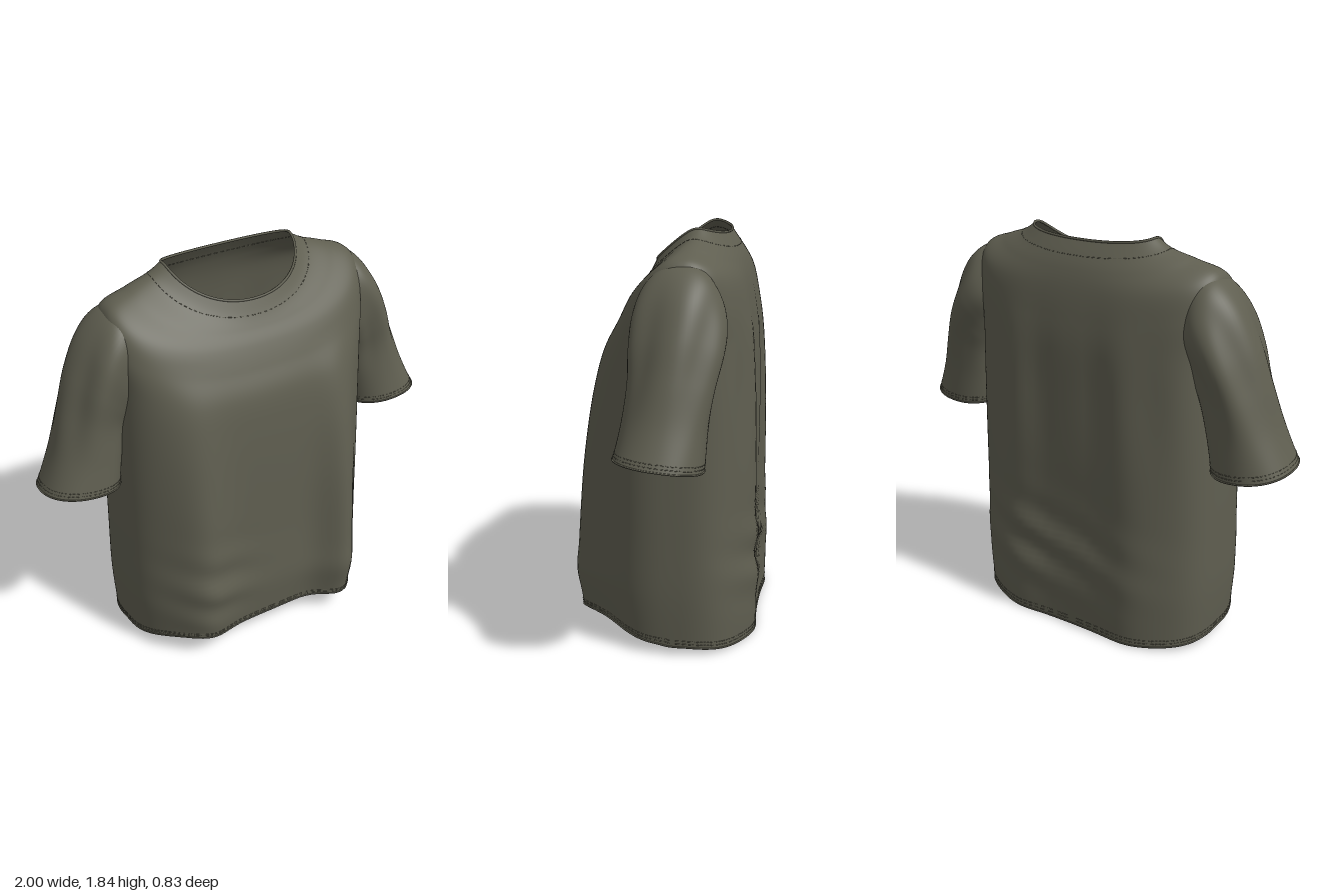
import * as THREE from 'three';
import { mergeGeometries } from 'three/addons/utils/BufferGeometryUtils.js';

const TAU = Math.PI * 2;
const cloth = new THREE.MeshStandardMaterial({ color: 0x5f5e50, side: THREE.DoubleSide });
cloth.name = 'olive cloth';

// Body rings from hem to neckline: halfWidth, zFront, zBack, ySide, yFront, yBack, front and back roundness
const BODY = [
  [0.62, 0.31, -0.39, 0.04, 0.1, 0.005, 2.6, 3.2],
  [0.635, 0.325, -0.395, 0.28, 0.3, 0.27, 2.6, 3.2],
  [0.635, 0.315, -0.385, 0.56, 0.57, 0.55, 2.6, 3.2],
  [0.63, 0.31, -0.385, 0.86, 0.86, 0.86, 2.6, 3.2],
  [0.625, 0.3, -0.38, 1.14, 1.12, 1.14, 2.6, 3.2],
  [0.625, 0.28, -0.375, 1.38, 1.3, 1.36, 2.6, 3.1],
  [0.64, 0.23, -0.36, 1.58, 1.42, 1.5, 2.6, 3],
  [0.62, 0.185, -0.34, 1.715, 1.51, 1.61, 2.5, 2.8],
  [0.5, 0.145, -0.315, 1.765, 1.57, 1.69, 2.3, 2.4],
  [0.39, 0.115, -0.285, 1.8, 1.62, 1.75, 2.1, 2.2],
  [0.325, 0.085, -0.245, 1.838, 1.68, 1.81, 2.1, 2.2],
];
const SEAM = 9 / 10; // where the collar band begins

// Sleeve rings from cuff to shoulder: outer x, outer y, inner x, inner y, zMid, zHalf
const SLEEVE = [
  [0.995, 0.94, 0.635, 0.905, -0.075, 0.185],
  [0.925, 1.1, 0.615, 1.06, -0.09, 0.175],
  [0.865, 1.28, 0.6, 1.18, -0.105, 0.175],
  [0.805, 1.45, 0.58, 1.25, -0.11, 0.188],
  [0.73, 1.6, 0.55, 1.3, -0.11, 0.192],
  [0.64, 1.695, 0.51, 1.36, -0.11, 0.175],
  [0.53, 1.735, 0.45, 1.42, -0.105, 0.115],
];

// Smooth interpolation through the ring tables
function sample(rows, t) {
  const f = THREE.MathUtils.clamp(t, 0, 1) * (rows.length - 1);
  const i = Math.min(Math.floor(f), rows.length - 2), u = f - i;
  const at = (k) => rows[THREE.MathUtils.clamp(k, 0, rows.length - 1)];
  return rows[i].map((b, k) => {
    const a = at(i - 1)[k], c = at(i + 1)[k], d = at(i + 2)[k];
    return b + 0.5 * u * (c - a + u * (2 * a - 5 * b + 4 * c - d + u * (3 * (b - c) + d - a)));
  });
}
const bump = (v, mid, width) => Math.exp(-(((v - mid) / width) ** 2));
const power = (v, p) => Math.sign(v) * Math.abs(v) ** p;
// Rises from 0 to 1 like |sin| but without a crease at the side
const ease = (k) => (Math.hypot(k, 0.15) - 0.15) / (Math.hypot(1, 0.15) - 0.15);

// Torso surface with draped folds
function bodyPoint(t, th) {
  const [a, zf, zb, ys, yf, yb, nf, nb] = sample(BODY, t);
  const c = Math.cos(th), s = Math.sin(th), front = s > 0;
  const low = 1 - THREE.MathUtils.smoothstep(t, 0.15, 0.65);
  const k = Math.abs(s), n = front ? nf : nb;
  const zMid = -0.06 - 0.08 * THREE.MathUtils.smoothstep(t, 0.45, 1);
  let x = a * power(c, 2 / n);
  let y = ys + ((front ? yf : yb) - ys) * ease(k);
  let z = zMid + ((front ? zf : zb) - zMid) * k ** (2 / n);
  if (front) {
    // Two hanging folds, small creases and the lifted hem
    z += low * k * (0.135 * bump(x, 0.37, 0.12) + 0.09 * bump(x, -0.41, 0.14));
    z += 0.012 * k * bump(y, 0.38, 0.2) * Math.sin(y * 30 + x * 9) * bump(x, -0.36, 0.2);
    z += 0.012 * k * bump(y, 0.28, 0.09) * bump(x, 0.36, 0.2);
    y += 0.03 * bump(t, 0, 0.06) * bump(Math.abs(x), 0.46, 0.14);
  } else {
    // Two shallow ridges, slanted creases and shoulder blades
    z -= low * k * 0.025 * (bump(x, 0.31, 0.14) + bump(x, -0.35, 0.14));
    z += 0.013 * k * bump(y, 0.38, 0.18) * Math.sin(y * 28 - x * 9) * bump(x, 0.15, 0.4);
    z -= 0.008 * k * bump(y, 1.15, 0.3) * Math.cos(x * 22);
  }
  x -= 0.018 * (1 - THREE.MathUtils.smoothstep(t, 0.3, 0.9));
  return new THREE.Vector3(x, y, z);
}

// Sleeve surface; side is +1 for left, -1 for right
function sleevePoint(side) {
  return (t, angle) => {
    const th = side > 0 ? angle : Math.PI - angle;
    const [ox, oy, ix, iy, zm, zh] = sample(SLEEVE, t);
    const c = Math.cos(th), s = Math.sin(th), u = 0.5 + 0.5 * power(c, 0.9);
    const fade = (1 - t) ** 2;
    const fold = 0.011 * Math.sin(Math.PI * t) ** 2 * Math.sin(th * 5 + t * 4);
    const x = ix + (ox - ix) * u + fold * c;
    const y = iy + (oy - iy) * u + fade * (0.012 * side + 0.024 * s);
    const z = zm + zh * power(s, 0.9) + fold * s + side * 0.022 * fade;
    return new THREE.Vector3(side * x, y, z);
  };
}

// Tubular skin of a surface function between two heights
function skin(point, t0, t1, rows, cols) {
  const pos = [], idx = [];
  for (let i = 0; i <= rows; i++) {
    for (let j = 0; j < cols; j++) {
      pos.push(...point(t0 + ((t1 - t0) * i) / rows, (j / cols) * TAU).toArray());
      if (i === rows) continue;
      const a = i * cols + j, b = i * cols + ((j + 1) % cols);
      idx.push(a, a + cols, b, b, a + cols, b + cols);
    }
  }
  const g = new THREE.BufferGeometry();
  g.setAttribute('position', new THREE.Float32BufferAttribute(pos, 3));
  g.setIndex(idx);
  g.computeVertexNormals();
  return g;
}

// Rolled cloth edge around an opening
function rim(point, t, r) {
  const pts = Array.from({ length: 72 }, (_, j) => point(t, (j / 72) * TAU));
  return new THREE.TubeGeometry(new THREE.CatmullRomCurve3(pts, true), 144, r, 6, true);
}

// Dashed row of raised stitches lying in the cloth
function stitches(point, t, count) {
  const dashes = [];
  for (let j = 0; j < count; j++) {
    const a = point(t, (j / count) * TAU), b = point(t, ((j + 0.65) / count) * TAU);
    dashes.push(new THREE.TubeGeometry(new THREE.LineCurve3(a, b), 1, 0.002, 4));
  }
  return mergeGeometries(dashes);
}

export function createModel() {
  const shirt = new THREE.Group();
  shirt.name = 'shirt';
  const add = (name, geometry) => {
    const mesh = new THREE.Mesh(geometry, cloth);
    mesh.name = name;
    shirt.add(mesh);
  };

  // Torso, collar and their edges
  add('body', skin(bodyPoint, 0, SEAM, 90, 128));
  add('collar', skin(bodyPoint, SEAM, 1, 8, 128));
  add('collarEdge', rim(bodyPoint, 1, 0.006));
  add('hemEdge', rim(bodyPoint, 0, 0.004));
  add('collarStitching', stitches(bodyPoint, SEAM - 0.004, 90));
  for (const t of [0.011, 0.019]) add('hemStitching', stitches(bodyPoint, t, 140));

  // Sleeves
  for (const [name, side] of [['left', 1], ['right', -1]]) {
    const point = sleevePoint(side);
    add(name + 'Sleeve', skin(point, 0, 1, 44, 72));
    add(name + 'CuffEdge', rim(point, 0, 0.004));
    for (const t of [0.025, 0.042]) add(name + 'CuffStitching', stitches(point, t, 60));
  }
  return shirt;
}
